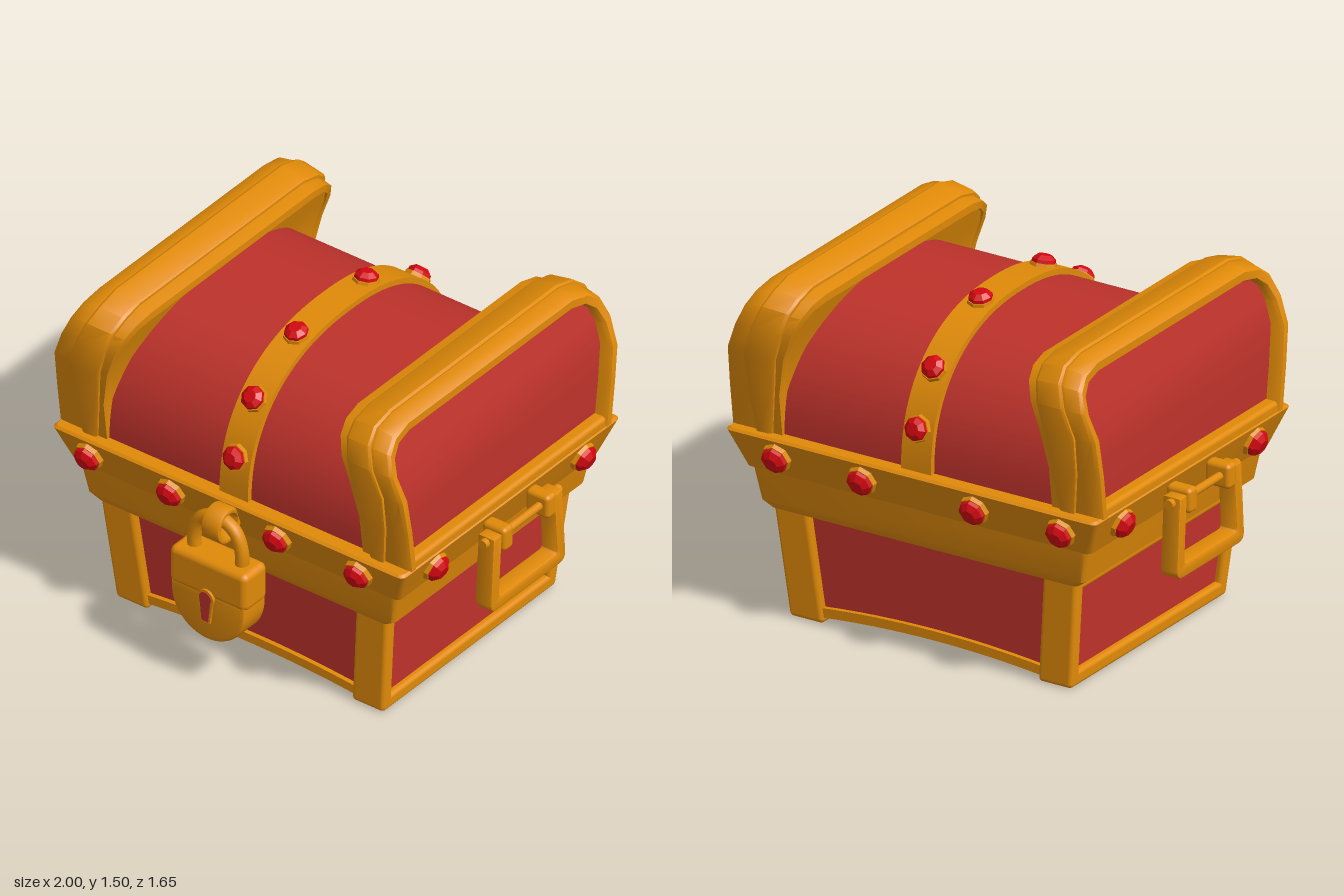
import * as THREE from 'three';
import { toCreasedNormals } from 'three/addons/utils/BufferGeometryUtils.js';
import { RoundedBoxGeometry } from 'three/addons/geometries/RoundedBoxGeometry.js';

const gold = new THREE.MeshStandardMaterial({ color: 0xe08a08 });
gold.name = 'gold';
const red = new THREE.MeshStandardMaterial({ color: 0xbe322b });
red.name = 'red wood';
const ruby = new THREE.MeshStandardMaterial({ color: 0xd40710 });
ruby.name = 'ruby';

function add(parent, name, geo, mat, x = 0, y = 0, z = 0) {
  const m = new THREE.Mesh(geo, mat);
  m.name = name;
  m.position.set(x, y, z);
  parent.add(m);
}

// Skin over closed rings of [x, y, z] points, capped at both ends
function loft(rings, crease = 0.6) {
  const n = rings[0].length, idx = [];
  for (let i = 0; i < rings.length - 1; i++) {
    for (let j = 0; j < n; j++) {
      const a = i * n + j, b = i * n + (j + 1) % n;
      idx.push(a, b, b + n, a, b + n, a + n);
    }
  }
  const e = (rings.length - 1) * n;
  for (let j = 1; j < n - 1; j++) idx.push(0, j + 1, j, e, e + j, e + j + 1);
  const g = new THREE.BufferGeometry();
  g.setAttribute('position', new THREE.Float32BufferAttribute(rings.flat(2), 3));
  g.setIndex(idx);
  return toCreasedNormals(g, crease);
}

// Rounded rectangular ring; each level is [y, half width, half depth]
function taperedBand(levels) {
  return loft(levels.map(([y, hx, hz]) => {
    const r = 0.025, ring = [];
    for (const [sx, sz, a0] of [[1, -1, 0], [-1, -1, 1], [-1, 1, 2], [1, 1, 3]]) {
      for (let k = 0; k < 4; k++) {
        const a = (a0 + k / 3) * Math.PI / 2;
        ring.push([sx * (hx - r) + r * Math.cos(a), y, sz * (hz - r) - r * Math.sin(a)]);
      }
    }
    return ring;
  }));
}

// Lower body widens with height
function flare(geo) {
  const p = geo.attributes.position;
  for (let i = 0; i < p.count; i++) {
    const t = p.getY(i) / 0.49;
    p.setX(i, p.getX(i) + Math.max(-1, Math.min(1, p.getX(i) / 0.52)) * 0.05 * t);
    p.setZ(i, p.getZ(i) * (1 + 0.07 * t));
  }
  return geo;
}

function rounded(w, h, d, x, y, z, r = 0.02) {
  return new RoundedBoxGeometry(w, h, d, 3, r).translate(x, y, z);
}

function extrude(pts, depth, bevel = 0) {
  const shape = pts instanceof THREE.Shape ? pts : new THREE.Shape(pts.map(([x, y]) => new THREE.Vector2(x, y)));
  const g = new THREE.ExtrudeGeometry(shape, {
    depth: depth - 2 * bevel, curveSegments: 20, bevelEnabled: bevel > 0,
    bevelSize: bevel, bevelOffset: -bevel, bevelThickness: bevel, bevelSegments: 2,
  });
  return toCreasedNormals(g.translate(0, 0, -depth / 2 + bevel), 0.6);
}

// Faceted ruby in an octagonal setting, facing along a normal
function gem(parent, x, y, z, normal, s = 1) {
  const g = new THREE.Group();
  g.name = 'gem';
  const facet = (name, top, bottom, h, mat, at) =>
    add(g, name, toCreasedNormals(new THREE.CylinderGeometry(top, bottom, h, 8), 0.1), mat, 0, at, 0);
  facet('gemSetting', 0.064, 0.071, 0.04, gold, 0.003);
  facet('gemGirdle', 0.057, 0.059, 0.018, ruby, 0.03);
  facet('gemCrown', 0.032, 0.057, 0.02, ruby, 0.049);
  g.position.set(x, y, z);
  g.scale.setScalar(s);
  g.quaternion.setFromUnitVectors(new THREE.Vector3(0, 1, 0), new THREE.Vector3(...normal).normalize());
  parent.add(g);
}

// Lid barrel curve
const N = 2.3;
const arcY = (z, a, b) => 0.84 + b * Math.pow(Math.max(0, 1 - Math.pow(Math.abs(z) / a, N)), 1 / N);
function barrel(a, b, width) {
  const pts = [];
  for (let i = 0; i <= 48; i++) {
    const z = a * Math.cos(Math.PI * i / 48);
    pts.push([z, arcY(z, a, b)]);
  }
  return extrude(pts, width).rotateY(Math.PI / 2);
}

// Lid end: outer and inner arch lines as [half depth, height], leaning inward at the top
const OUT = [[0.675, 0.84], [0.70, 1.03], [0.727, 1.2], [0.737, 1.32], [0.71, 1.405], [0.65, 1.455], [0.55, 1.48]];
const INN = [[0.63, 0.84], [0.655, 1.03], [0.68, 1.2], [0.69, 1.3], [0.668, 1.365], [0.62, 1.405], [0.54, 1.42]];
const xOuter = (y) => 0.9 - Math.max(0, y - 1.18) * 0.36;
const xInner = (y) => 0.655 - Math.max(0, y - 1.1) * 0.33;
const ramp = (y, a, b) => Math.min(1, Math.max(0, (y - a) / (b - a)));
const fullArch = (half) => [...half, ...half.slice().reverse().map(([z, y]) => [-z, y])];

function archLoft(section) {
  const inner = fullArch(INN);
  return loft(fullArch(OUT).map(([z, y], i) => {
    const [qz, qy] = inner[i];
    return section(y).map(([x, t]) => [x, y + (qy - y) * t, z + (qz - z) * t]);
  }));
}

function lidEnd() {
  const g = new THREE.Group();
  g.name = 'lidEnd';
  add(g, 'lidEndFrame', archLoft((y) => {
    const o = xOuter(y), i = xInner(y), k = ramp(y, 1.1, 1.45);
    return [[i, 0.45 * k], [o - 0.08, -0.2 * k], [o - 0.015, 0], [o, 0.2], [o, 0.8], [o - 0.02, 1], [o - 0.09, 1], [i, 1]];
  }), gold);
  add(g, 'lidEndStrap', archLoft((y) => {
    const k = ramp(y, 1.18, 1.45);
    const c = 0.735 - 0.085 * k, w = 0.035 + 0.04 * ramp(y, 0.84, 1.15) - 0.012 * k;
    return [[c - w, 0.6], [c - w, -0.2 + 0.25 * k], [c - w + 0.012, -0.35 + 0.25 * k],
      [c + w - 0.012, -0.4], [c + w, -0.3], [c + w, 0.6]];
  }), gold);
  const sheet = (xOf) => loft(INN.map(([z, y]) => [[xOf(y), y, z], [xOf(y), y, -z]]));
  add(g, 'lidEndPanel', sheet((y) => xOuter(y) - 0.06), red);
  add(g, 'lidEndInnerFace', sheet(xInner), gold);
  add(g, 'lidEndSill', rounded(0.24, 0.06, 1.3, 0.775, 0.855, 0), gold);
  return g;
}

function handle() {
  const g = new THREE.Group();
  g.name = 'handle';
  for (const s of [-1, 1]) {
    add(g, 'handleMount', rounded(0.12, 0.11, 0.065, 0.94, 0.76, s * 0.145), gold);
    add(g, 'handlePin', new THREE.CylinderGeometry(0.022, 0.022, 0.12, 12).rotateX(Math.PI / 2), gold, 0.945, 0.765, s * 0.195);
  }
  // U-shaped grip with rounded lower corners
  const u = new THREE.Shape();
  u.moveTo(-0.23, 0.79).lineTo(-0.25, 0.48).quadraticCurveTo(-0.253, 0.433, -0.205, 0.433);
  u.lineTo(0.205, 0.433).quadraticCurveTo(0.253, 0.433, 0.25, 0.48).lineTo(0.23, 0.79).lineTo(0.175, 0.79);
  u.lineTo(0.193, 0.51).quadraticCurveTo(0.193, 0.492, 0.175, 0.492);
  u.lineTo(-0.175, 0.492).quadraticCurveTo(-0.193, 0.492, -0.193, 0.51).lineTo(-0.175, 0.79);
  add(g, 'handleGrip', extrude(u, 0.085, 0.01).rotateY(Math.PI / 2), gold, 0.945);
  add(g, 'handlePivot', new THREE.CylinderGeometry(0.018, 0.018, 0.26, 12).rotateX(Math.PI / 2), gold, 0.955, 0.762, 0);
  return g;
}

function padlock() {
  const g = new THREE.Group();
  g.name = 'padlock';
  add(g, 'lockTop', rounded(0.395, 0.18, 0.155, 0, 0.53, 0, 0.03), gold);
  const low = new THREE.Shape();
  low.moveTo(0.187, 0.46).lineTo(-0.187, 0.46).lineTo(-0.187, 0.42);
  low.absarc(0, 0.42, 0.187, Math.PI, Math.PI * 2, false);
  add(g, 'lockBottom', extrude(low, 0.15, 0.015), gold);
  // Keyhole with raised rim
  const keyhole = (r) => {
    const k = new THREE.Shape();
    k.absarc(0, 0.445, r, -0.5, Math.PI + 0.5, false);
    k.lineTo(-r * 0.55, 0.365 - r).lineTo(r * 0.55, 0.365 - r);
    return k;
  };
  add(g, 'keyholeRim', extrude(keyhole(0.04), 0.02), gold, 0, 0, 0.078);
  add(g, 'keyhole', extrude(keyhole(0.03), 0.006), red, 0, 0, 0.088);
  const arch = new THREE.CatmullRomCurve3([[-0.12, 0.58], [-0.12, 0.68], [-0.085, 0.765], [0, 0.8],
    [0.085, 0.765], [0.12, 0.68], [0.12, 0.58]].map(([x, y]) => new THREE.Vector3(x, y, 0)));
  add(g, 'shackle', new THREE.TubeGeometry(arch, 32, 0.03, 12), gold);
  // Hasp loop over the shackle
  const ring = new THREE.Shape().absarc(0, 0, 0.08, 0, Math.PI * 2, false);
  ring.holes.push(new THREE.Path().absarc(0, 0, 0.055, 0, Math.PI * 2, true));
  add(g, 'hasp', extrude(ring, 0.09, 0.008).rotateY(Math.PI / 2), gold, 0, 0.762, -0.02);
  return g;
}

export function createModel() {
  const root = new THREE.Group();
  root.name = 'treasureChest';
  const chest = new THREE.Group();
  chest.name = 'chest';
  chest.position.set(-0.01, 0, -0.055);
  root.add(chest);

  // Lower body with arched underside
  const under = (lift) => Array.from({ length: 17 }, (_, i) => {
    const x = -0.53 + 1.06 * i / 16;
    return [x, lift + 0.03 * (1 - (x / 0.53) ** 2)];
  });
  add(chest, 'body', flare(extrude([[-0.655, 0.03], ...under(0.03), [0.655, 0.03], [0.655, 0.52], [-0.655, 0.52]], 1.09)), red);
  const trim = [...under(0.025), ...under(0.068).reverse()];
  for (const s of [-1, 1]) {
    add(chest, 'bottomTrim', flare(extrude(trim, 0.035).translate(0, 0, s * 0.548)), gold);
    for (const t of [-1, 1]) {
      add(chest, 'cornerPost', flare(rounded(0.165, 0.52, 0.062, s * 0.603, 0.26, t * 0.549)), gold);
    }
    add(chest, 'endBottomRail', flare(rounded(0.165, 0.07, 1.15, s * 0.603, 0.035, 0)), gold);
    add(chest, 'endTopRail', flare(rounded(0.165, 0.07, 1.13, s * 0.603, 0.485, 0)), gold);
  }

  // Rim bands
  add(chest, 'lowerBand', taperedBand([[0.49, 0.745, 0.63], [0.52, 0.785, 0.645], [0.68, 0.815, 0.665]]), gold);
  add(chest, 'upperBand', taperedBand([[0.67, 0.835, 0.672], [0.835, 0.9, 0.73], [0.845, 0.89, 0.72]]), gold);

  // Lid, with each end the other turned half round
  add(chest, 'lidBarrel', barrel(0.66, 0.58, 1.32), red);
  add(chest, 'lidStrap', barrel(0.685, 0.605, 0.145), gold);
  for (const left of [true, false]) {
    const side = new THREE.Group();
    side.name = left ? 'leftEnd' : 'rightEnd';
    side.add(lidEnd(), handle());
    side.rotation.y = left ? 0 : Math.PI;
    chest.add(side);
  }

  // Gems on the bands and lid strap
  for (const s of [-1, 1]) {
    for (const x of [-0.72, -0.3, 0.245, 0.66]) gem(chest, x, 0.76, s * 0.703, [0, -0.33, s]);
    for (const z of [-0.5, 0.485]) gem(chest, s * 0.868, 0.765, z, [s, -0.36, 0]);
  }
  for (const z of [-0.662, -0.54, -0.2, 0.26, 0.54, 0.662]) {
    const y = arcY(z, 0.685, 0.605);
    const ny = Math.pow((y - 0.84) / 0.605, N - 1) / 0.605;
    const nz = Math.sign(z) * Math.pow(Math.abs(z) / 0.685, N - 1) / 0.685;
    gem(chest, 0, y - 0.008, z, [0, ny, nz], 0.88);
  }

  const lock = padlock();
  lock.position.set(-0.01, 0, 0.733);
  root.add(lock);
  return root;
}
